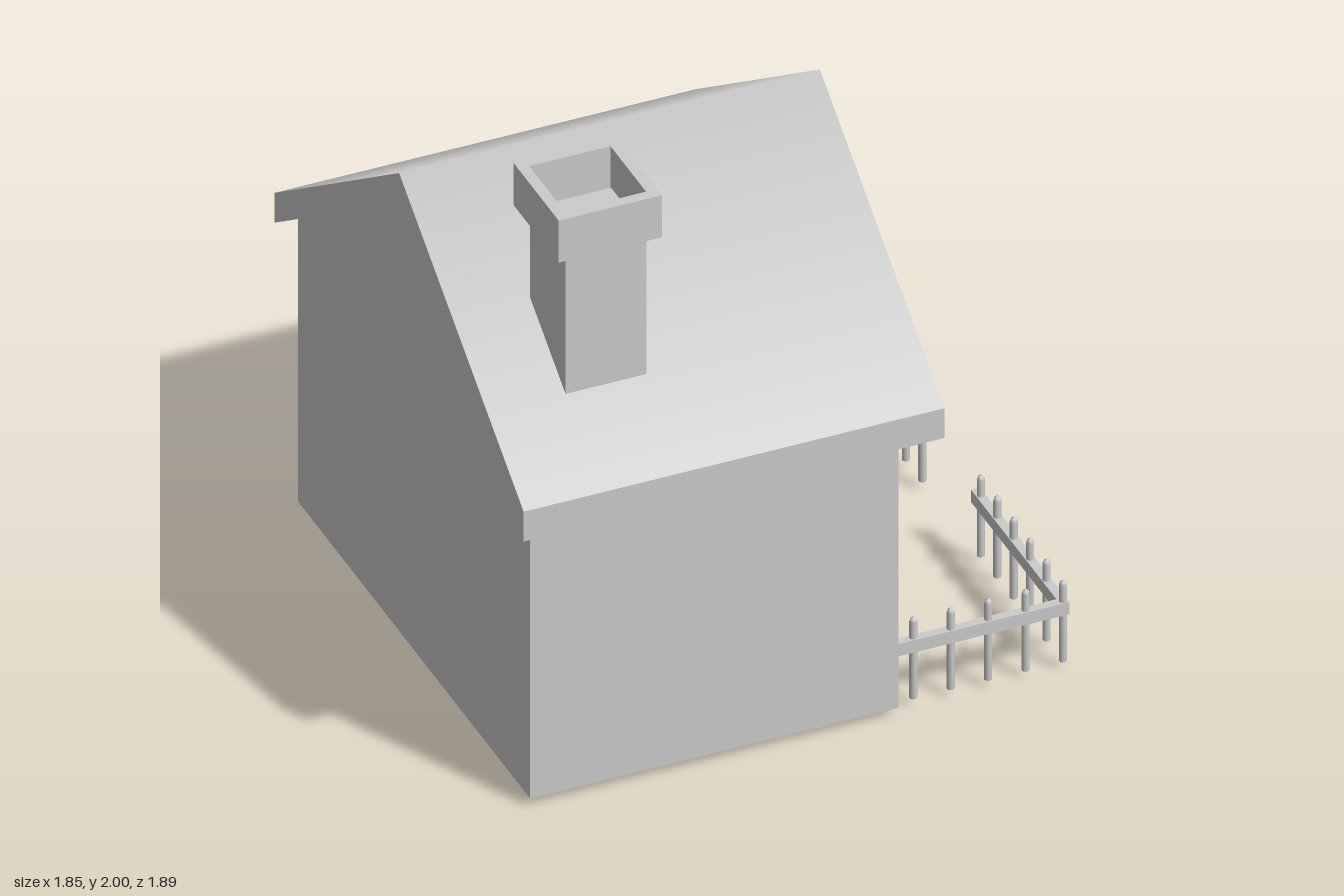
import * as THREE from 'three';

const mat = new THREE.MeshStandardMaterial({ color: 0xcccccc });

function add(parent, name, geo) {
  const mesh = new THREE.Mesh(geo, mat);
  mesh.name = name;
  parent.add(mesh);
  return mesh;
}

// Box given by its limits on each axis
function box(parent, name, x0, x1, y0, y1, z0, z1) {
  const geo = new THREE.BoxGeometry(x1 - x0, y1 - y0, z1 - z0);
  return add(parent, name, geo.translate((x0 + x1) / 2, (y0 + y1) / 2, (z0 + z1) / 2));
}

function group(parent, name) {
  const g = new THREE.Group();
  g.name = name;
  parent.add(g);
  return g;
}

// Outline in the z-y plane, extruded along x from x0 to x1
function extrudeX(points, x0, x1) {
  const shape = new THREE.Shape(points.map(([a, b]) => new THREE.Vector2(a, b)));
  return new THREE.ExtrudeGeometry(shape, { depth: x1 - x0, bevelEnabled: false })
    .rotateY(Math.PI / 2).translate(x0, 0, 0);
}

const WALL = 0.345; // x of the wall with the door

function addRoof(house) {
  const geo = extrudeX([[-0.945, 1.03], [0, 1.69], [0.945, 1.03], [0.945, 1.14], [0, 1.8], [-0.945, 1.14]], -0.93, 0.47);
  // Smooth shading over the ridge
  const p = geo.attributes.position, n = geo.attributes.normal;
  for (let i = 0; i < p.count; i++) {
    if (p.getY(i) > 1.79 && n.getY(i) > 0.3) n.setXYZ(i, 0, 1, 0);
  }
  add(house, 'roof', geo);
}

function addChimney(house) {
  const chimney = group(house, 'chimney');
  box(chimney, 'chimneyStack', -0.67, -0.4, 1.3, 1.85, 0.4, 0.67);
  // Hollow square cap
  const s = 0.172, h = 0.135;
  const cap = new THREE.Shape([[-s, -s], [s, -s], [s, s], [-s, s]].map(([a, b]) => new THREE.Vector2(a, b)));
  cap.holes.push(new THREE.Path([[-h, -h], [-h, h], [h, h], [h, -h]].map(([a, b]) => new THREE.Vector2(a, b))));
  const geo = new THREE.ExtrudeGeometry(cap, { depth: 0.155, bevelEnabled: false });
  add(chimney, 'chimneyCap', geo.rotateX(-Math.PI / 2).translate(-0.535, 1.845, 0.53));
}

function addDoor(house) {
  const door = group(house, 'door');
  const z0 = -0.24, z1 = 0.19, t = 0.05, front = 0.4;
  box(door, 'doorPanel', WALL - 0.02, 0.368, 0.01, 0.62, z0 + t, z1 - t);
  box(door, 'doorJamb', WALL - 0.005, front, 0, 0.61, z0, z0 + t);
  box(door, 'doorJamb', WALL - 0.005, front, 0, 0.61, z1 - t, z1);
  box(door, 'doorLintel', WALL - 0.005, front, 0.61, 0.66, z0, z1);
  add(door, 'doorKnob', new THREE.SphereGeometry(0.025, 16, 12)).position.set(0.38, 0.28, 0.09);
}

function addWindow(house, zc) {
  const win = group(house, 'window');
  const w = 0.123, t = 0.016, y0 = 0.24, y1 = 0.6, x0 = WALL - 0.005, x1 = 0.375;
  for (const s of [-1, 1]) {
    const a = zc + s * w, b = zc + s * (w - t);
    box(win, 'windowStile', x0, x1, y0, y1, Math.min(a, b), Math.max(a, b));
  }
  for (const y of [y0, (y0 + y1 - t) / 2, y1 - t]) {
    box(win, 'windowRail', x0, x1, y, y + t, zc - w + t, zc + w - t);
  }
}

// Ring-shaped frame high in the gable
function addRoundWindow(house) {
  const a = 0.21, b = 0.19, d0 = -0.01, d1 = 0.07;
  const outline = [[b, d0], [a, d0], [a, d1], [b, d1], [b, d0]];
  const ring = group(house, 'roundWindow');
  // Each side is lathed alone to keep the rims sharp
  for (let i = 0; i < 4; i++) {
    const pts = [outline[i], outline[i + 1]].map(([r, y]) => new THREE.Vector2(r, y));
    add(ring, 'roundWindowFrame', new THREE.LatheGeometry(pts, 16).rotateZ(-Math.PI / 2));
  }
  ring.position.set(WALL, 1.095, 0);
}

// Picket with a rounded tip
const picketProfile = [[0, 0.03], [0.0125, 0.03], [0.0125, 0.31], [0.009, 0.321], [0, 0.326]]
  .map(([r, y]) => new THREE.Vector2(r, y));

function addFence(house, side) {
  const fence = group(house, 'fence');
  const zr = side * 0.845, xr = 0.908, t = 0.015;
  box(fence, 'fenceSideRail', WALL - 0.005, xr + t, 0.205, 0.25, zr - t, zr + t);
  const ends = [side * 0.18, side * (0.845 - t)];
  box(fence, 'fenceFrontRail', xr - t, xr + t, 0.205, 0.25, Math.min(...ends), Math.max(...ends));
  const picket = (x, z) => add(fence, 'picket', new THREE.LatheGeometry(picketProfile, 10)).position.set(x, 0, z);
  for (let i = 0; i < 5; i++) picket(0.41 + i * 0.1245, zr);
  for (let i = 0; i < 5; i++) picket(xr, side * (0.222 + i * 0.1246));
}

export function createModel() {
  const house = new THREE.Group();
  house.name = 'house';
  add(house, 'walls', extrudeX([[-0.88, 0.03], [0.88, 0.03], [0.88, 1.09], [0, 1.705], [-0.88, 1.09]], -0.88, WALL));
  addRoof(house);
  addChimney(house);
  addDoor(house);
  addWindow(house, 0.545);
  addWindow(house, -0.555);
  addRoundWindow(house);
  for (const side of [1, -1]) addFence(house, side);
  return house;
}
